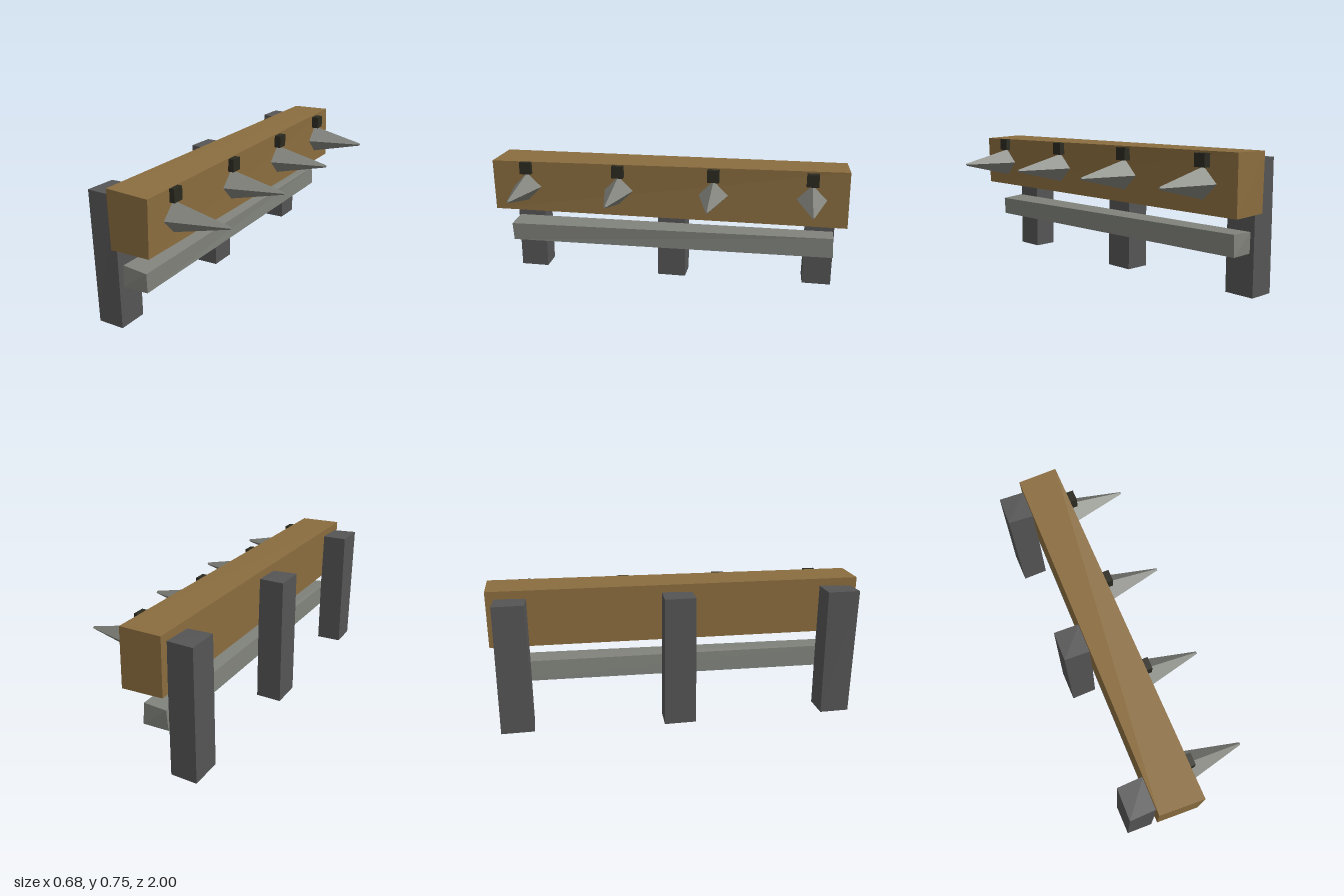
import * as THREE from 'three';

const material = (name, color) => {
  const m = new THREE.MeshStandardMaterial({ color, flatShading: true });
  m.name = name;
  return m;
};

// Rough-hewn block: each end lists its corners top-left, top-right, bottom-right, bottom-left
function hewnBlock(name, mat, front, back) {
  const geo = new THREE.BoxGeometry(2, 2, 2).toNonIndexed();
  const p = geo.attributes.position;
  for (let i = 0; i < p.count; i++) {
    const right = p.getX(i) > 0, top = p.getY(i) > 0;
    const end = p.getZ(i) > 0 ? front : back;
    p.setXYZ(i, ...end[top ? (right ? 1 : 0) : (right ? 2 : 3)]);
  }
  geo.computeVertexNormals();
  const mesh = new THREE.Mesh(geo, mat);
  mesh.name = name;
  return mesh;
}

export function createModel() {
  const model = new THREE.Group();
  model.name = 'spikedBarricade';
  const wood = material('wood', 0x8b6d3f);
  const post = material('darkPost', 0x555555);
  const steel = material('paleSteel', 0x80827b);
  const iron = material('blackIron', 0x2b2a20);

  // Heavy beam and thin lower rail
  model.add(hewnBlock('beam', wood,
    [[-0.202, 0.745, 0.99], [0.035, 0.735, 1], [0.026, 0.447, 1], [-0.197, 0.443, 0.99]],
    [[-0.2, 0.745, -0.99], [0.018, 0.747, -0.995], [0.023, 0.436, -1], [-0.195, 0.44, -0.99]]));
  model.add(hewnBlock('lowerRail', steel,
    [[-0.177, 0.347, 0.935], [-0.04, 0.334, 0.94], [-0.043, 0.232, 0.935], [-0.181, 0.233, 0.94]],
    [[-0.175, 0.345, -0.94], [-0.047, 0.347, -0.935], [-0.043, 0.235, -0.942], [-0.18, 0.235, -0.935]]));

  // Three posts behind the beam: centre z, bottom height, lean
  for (const [z, y, lean] of [[0.87, 0.01, -0.004], [0, 0, 0.003], [-0.867, 0.006, 0.004]]) {
    const f = z + 0.083, b = z - 0.083;
    model.add(hewnBlock('post', post,
      [[-0.338, 0.708, f - lean], [-0.195, 0.7, f], [-0.194, y + 0.002, f], [-0.337, y + 0.004, f + lean]],
      [[-0.336, 0.706, b], [-0.196, 0.705, b + lean], [-0.195, y, b], [-0.339, y + 0.002, b - lean]]));
  }

  // Four-sided blunt spikes, each with an iron stud above
  const spikeGeo = new THREE.CylinderGeometry(0.007, 0.081, 0.312, 4).rotateZ(-Math.PI / 2);
  const studGeo = new THREE.BoxGeometry(0.042, 0.068, 0.065);
  for (const z of [-0.8, -0.267, 0.267, 0.8]) {
    const spike = new THREE.Mesh(spikeGeo, steel);
    spike.name = 'spike';
    spike.position.set(0.181, 0.59, z);
    const stud = new THREE.Mesh(studGeo, iron);
    stud.name = 'stud';
    stud.position.set(0.039, 0.702, z);
    model.add(spike, stud);
  }
  return model;
}
